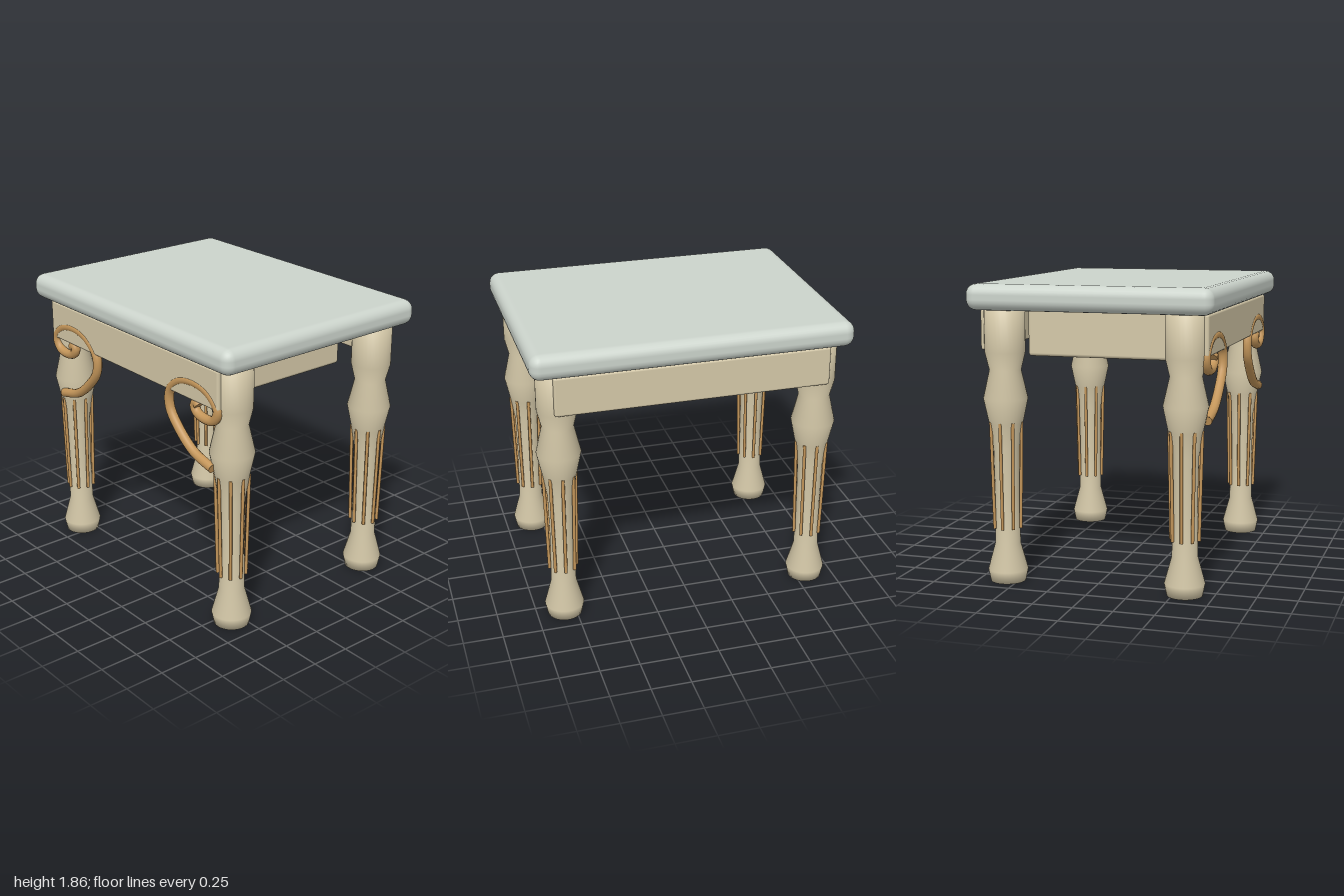
import * as THREE from 'three';
import { RoundedBoxGeometry } from 'three/addons/geometries/RoundedBoxGeometry.js';

const material = (name, color) => {
  const m = new THREE.MeshStandardMaterial({ color });
  m.name = name;
  return m;
};

export function createModel() {
  const paleTop = material('pale grey green', 0xccd4cc);
  const cream = material('cream', 0xd4c8a8);
  const gold = material('gold', 0xc4965a);

  const model = new THREE.Group();
  model.name = 'sideTable';

  const add = (parent, name, geometry, mat, x = 0, y = 0, z = 0) => {
    const mesh = new THREE.Mesh(geometry, mat);
    mesh.name = name;
    mesh.position.set(x, y, z);
    parent.add(mesh);
    return mesh;
  };

  // Table top and the shallow drawer box hanging beneath it
  add(model, 'tableTop', new RoundedBoxGeometry(2, 0.16, 1.53, 3, 0.065), paleTop, 0, 1.78, 0);
  add(model, 'drawerBox', new RoundedBoxGeometry(1.2, 0.3, 1.01, 2, 0.02), cream, 0, 1.54, 0);

  // Front and back aprons
  const apron = new RoundedBoxGeometry(1.72, 0.25, 0.06, 2, 0.015);
  add(model, 'frontApron', apron, cream, 0, 1.575, 0.684);
  add(model, 'backApron', apron, cream, 0, 1.575, -0.684);

  // Turned leg profile, from foot to top
  const profile = [
    [0, 0], [0.11, 0], [0.125, 0.075], [0.08, 0.24], [0.075, 0.55], [0.08, 0.85],
    [0.105, 1.0], [0.138, 1.155], [0.098, 1.33], [0.125, 1.44], [0.125, 1.7], [0, 1.7],
  ].map(([r, y]) => new THREE.Vector2(r, y));
  const legGeometry = new THREE.LatheGeometry(profile, 32);

  // Slim rods that lean out along the leg shaft
  const foot = new THREE.Vector3(0.087, 0.34, 0);
  const head = new THREE.Vector3(0.102, 1.01, 0);
  const rodGeometry = new THREE.TubeGeometry(new THREE.LineCurve3(foot, head), 1, 0.0105, 8);
  const rodCap = new THREE.CircleGeometry(0.0105, 8);

  for (const x of [-0.82, 0.82]) {
    for (const z of [-0.57, 0.57]) {
      const leg = new THREE.Group();
      leg.name = (z > 0 ? 'front' : 'back') + (x > 0 ? 'Left' : 'Right') + 'Leg';
      leg.position.set(x, 0, z);
      add(leg, 'turnedPost', legGeometry, cream);
      for (let i = 0; i < 8; i++) {
        const rod = new THREE.Group();
        rod.name = 'goldRod';
        rod.rotation.y = (i * Math.PI) / 4;
        add(rod, 'rodShaft', rodGeometry, gold);
        add(rod, 'rodFootCap', rodCap, gold, foot.x, foot.y, 0).rotation.x = Math.PI / 2;
        add(rod, 'rodHeadCap', rodCap, gold, head.x, head.y, 0).rotation.x = -Math.PI / 2;
        leg.add(rod);
      }
      model.add(leg);
    }
  }

  // Scroll ornaments at the front corners
  const scrollPoints = [
    [0.785, 1.065], [0.61, 1.115], [0.47, 1.22], [0.385, 1.33], [0.385, 1.44], [0.48, 1.53],
    [0.62, 1.56], [0.76, 1.53], [0.835, 1.45], [0.805, 1.38], [0.73, 1.36], [0.645, 1.38],
    [0.62, 1.42], [0.64, 1.445], [0.66, 1.425],
  ];
  for (const side of [1, -1]) {
    const scroll = new THREE.Group();
    scroll.name = side > 0 ? 'leftScroll' : 'rightScroll';
    const path = new THREE.CatmullRomCurve3(
      scrollPoints.map(([x, y]) => new THREE.Vector3(side * x, y, 0.691)));
    add(scroll, 'scrollTube', new THREE.TubeGeometry(path, 72, 0.03, 12), gold);
    // Flat discs closing both tube ends
    for (const t of [0, 1]) {
      const p = path.getPointAt(t);
      const outward = path.getTangentAt(t).multiplyScalar(t ? 1 : -1);
      const cap = add(scroll, 'scrollCap', new THREE.CircleGeometry(0.03, 12), gold, p.x, p.y, p.z);
      cap.quaternion.setFromUnitVectors(new THREE.Vector3(0, 0, 1), outward);
    }
    model.add(scroll);
  }

  return model;
}
